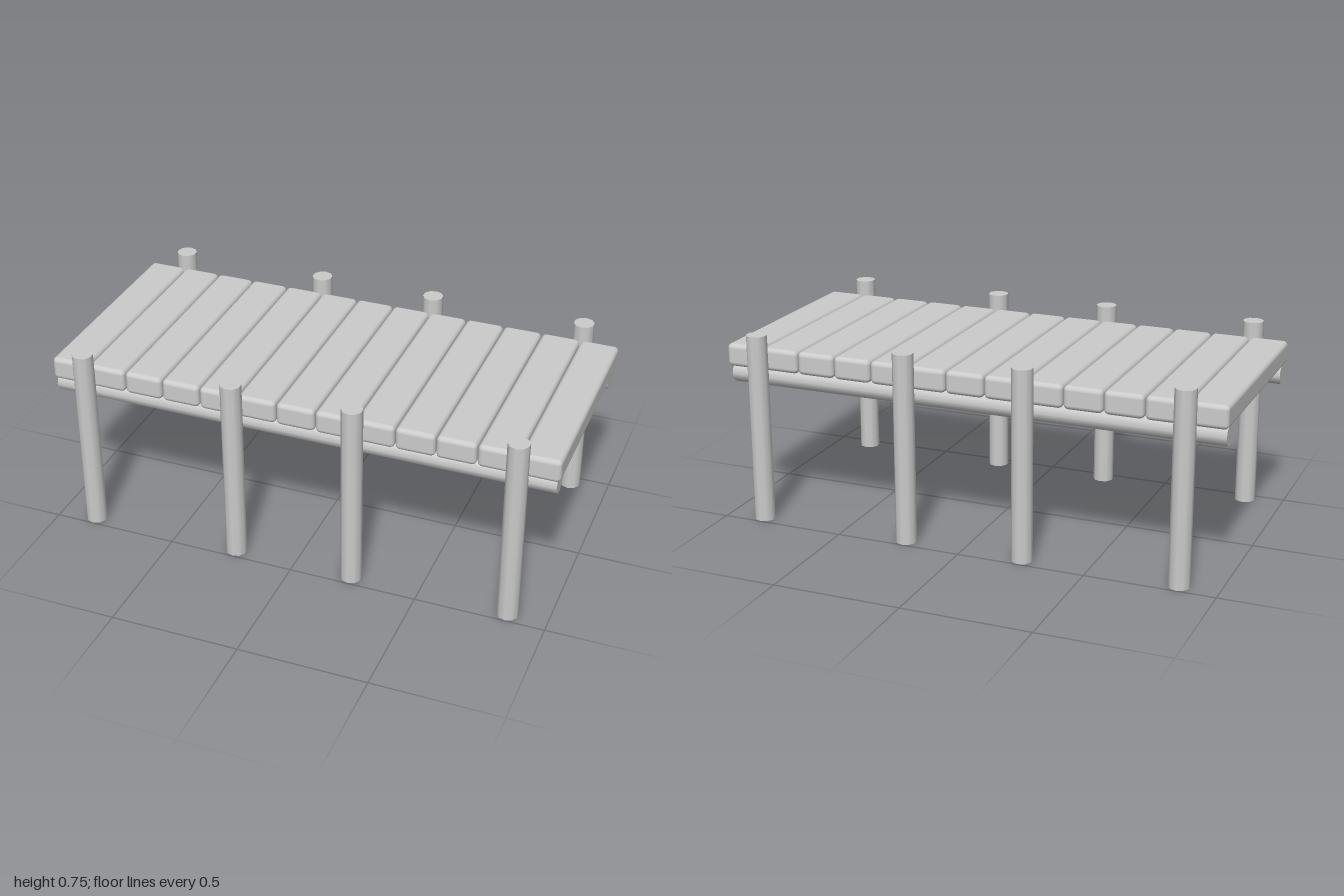
import * as THREE from 'three';
import { RoundedBoxGeometry } from 'three/addons/geometries/RoundedBoxGeometry.js';

const PLANKS = 13;
const PITCH = 2 / PLANKS;
const LOG_RADIUS = 0.0405;
const LOG_SIDES = 10;

export function createModel() {
  const model = new THREE.Group();
  model.name = 'dock';
  const material = new THREE.MeshStandardMaterial({ color: 0xcccccc });

  const add = (name, geometry, x, y, z) => {
    const mesh = new THREE.Mesh(geometry, material);
    mesh.name = name;
    mesh.position.set(x, y, z);
    model.add(mesh);
    return mesh;
  };

  // Deck: a row of planks with softened edges and narrow gaps
  const plank = new RoundedBoxGeometry(PITCH - 0.004, 0.09, 0.87, 3, 0.018);
  for (let i = 0; i < PLANKS; i++) {
    add('plank' + (i + 1), plank, (i - (PLANKS - 1) / 2) * PITCH, 0.646, 0.002);
  }

  // Round beams under the deck and posts outside it, on both long sides
  const beam = new THREE.CylinderGeometry(LOG_RADIUS, LOG_RADIUS, 1.976, LOG_SIDES).rotateZ(Math.PI / 2);
  const post = new THREE.CylinderGeometry(LOG_RADIUS, LOG_RADIUS, 0.75, LOG_SIDES);
  for (const [side, sign] of [['front', 1], ['back', -1]]) {
    add(side + 'Beam', beam, -0.004, 0.57, sign * 0.382);
    [-0.85, -0.242, 0.232, 0.848].forEach((x, i) => {
      add(side + 'Post' + (i + 1), post, x, 0.375, sign * 0.457);
    });
  }

  return model;
}
